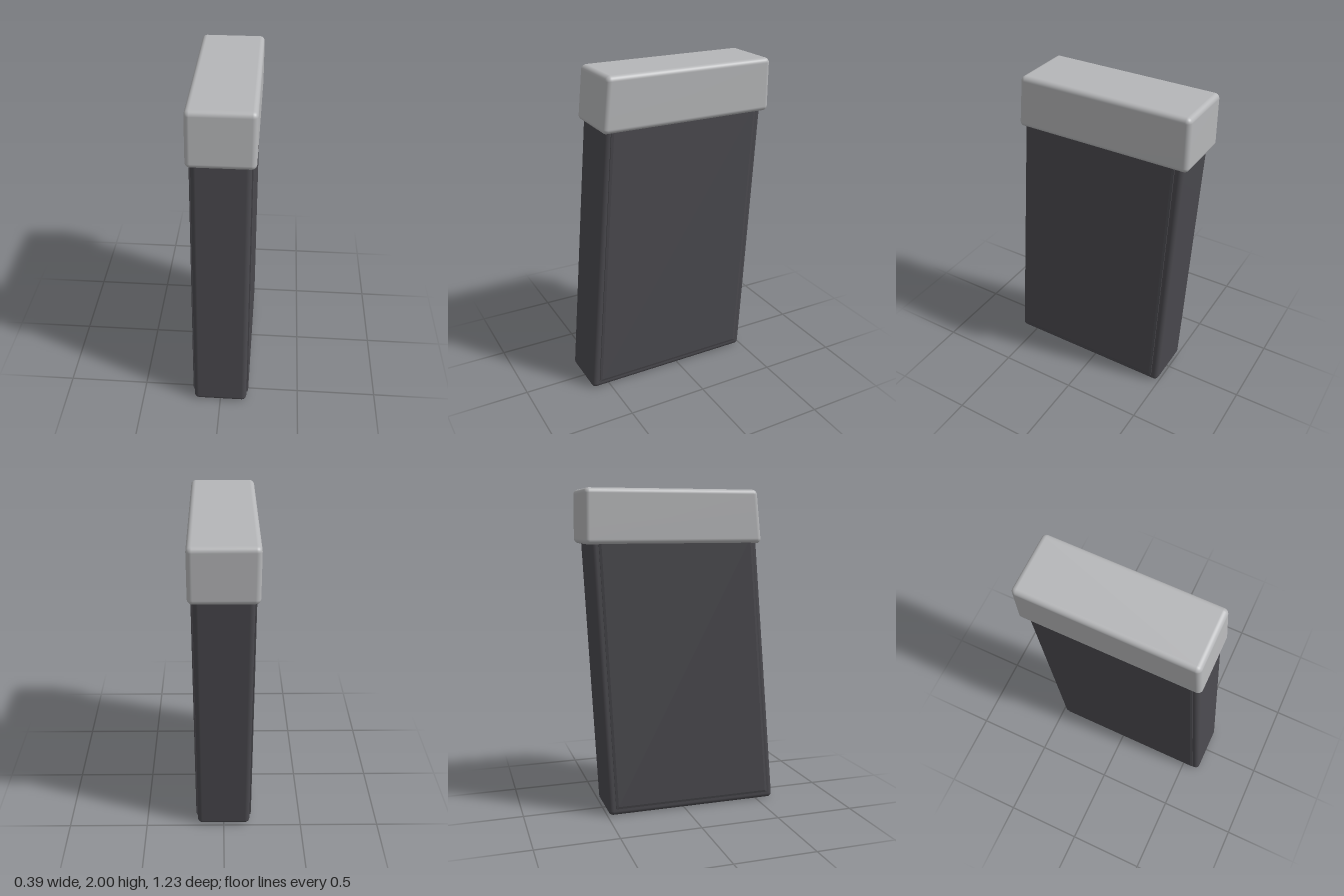
import * as THREE from 'three';
import { mergeVertices } from 'three/addons/utils/BufferGeometryUtils.js';
import { RoundedBoxGeometry } from 'three/addons/geometries/RoundedBoxGeometry.js';

// Rounded box whose front and back faces slant between the bottom and top [front, back] z values
function slantedBox(width, y0, y1, bottom, top, radius) {
  let geo = new RoundedBoxGeometry(width, y1 - y0, 1, 5, radius);
  geo.deleteAttribute('uv');
  geo.deleteAttribute('normal');
  geo = mergeVertices(geo, 1e-5);
  const pos = geo.attributes.position;
  for (let i = 0; i < pos.count; i++) {
    const y = pos.getY(i) + (y0 + y1) / 2;
    const t = (y - y0) / (y1 - y0);
    const front = THREE.MathUtils.lerp(bottom[0], top[0], t);
    const back = THREE.MathUtils.lerp(bottom[1], top[1], t);
    const z = pos.getZ(i);
    // keep the edge radius while moving each half to its slanted face
    const shifted = z > 0 ? front - 0.5 + z : back + 0.5 + z;
    pos.setXYZ(i, pos.getX(i), y, shifted);
  }
  geo.computeVertexNormals();
  return geo;
}

// Raised side panel with a narrow bevelled border
function sidePanel(side) {
  const corners = [[0.57, 0.045], [-0.448, 0.045], [-0.532, 1.72], [0.434, 1.72]];
  const shape = new THREE.Shape(corners.map(([z, y]) => new THREE.Vector2(-side * z, y)));
  const geo = new THREE.ExtrudeGeometry(shape, {
    depth: 0.02, bevelEnabled: true, bevelThickness: 0.004,
    bevelSize: 0.015, bevelOffset: -0.015, bevelSegments: 1,
  });
  geo.rotateY(side * Math.PI / 2);
  geo.translate(side * 0.155, 0, 0);
  return geo;
}

export function createModel() {
  const model = new THREE.Group();
  model.name = 'slantedCase';
  const darkGrey = new THREE.MeshStandardMaterial({ name: 'darkGrey', color: 0x4a494e });
  const lightGrey = new THREE.MeshStandardMaterial({ name: 'lightGrey', color: 0xb5b6b8 });
  const add = (name, geo, mat) => {
    const mesh = new THREE.Mesh(geo, mat);
    mesh.name = name;
    model.add(mesh);
  };

  // Leaning body, its top hidden in the cap
  add('body', slantedBox(0.336, 0, 1.76, [0.617, -0.49], [0.463, -0.579], 0.03), darkGrey);

  // Panels on both broad sides
  add('leftPanel', sidePanel(1), darkGrey);
  add('rightPanel', sidePanel(-1), darkGrey);

  // Overhanging cap
  add('cap', slantedBox(0.39, 1.675, 2, [0.495, -0.615], [0.46, -0.612], 0.03), lightGrey);

  return model;
}
